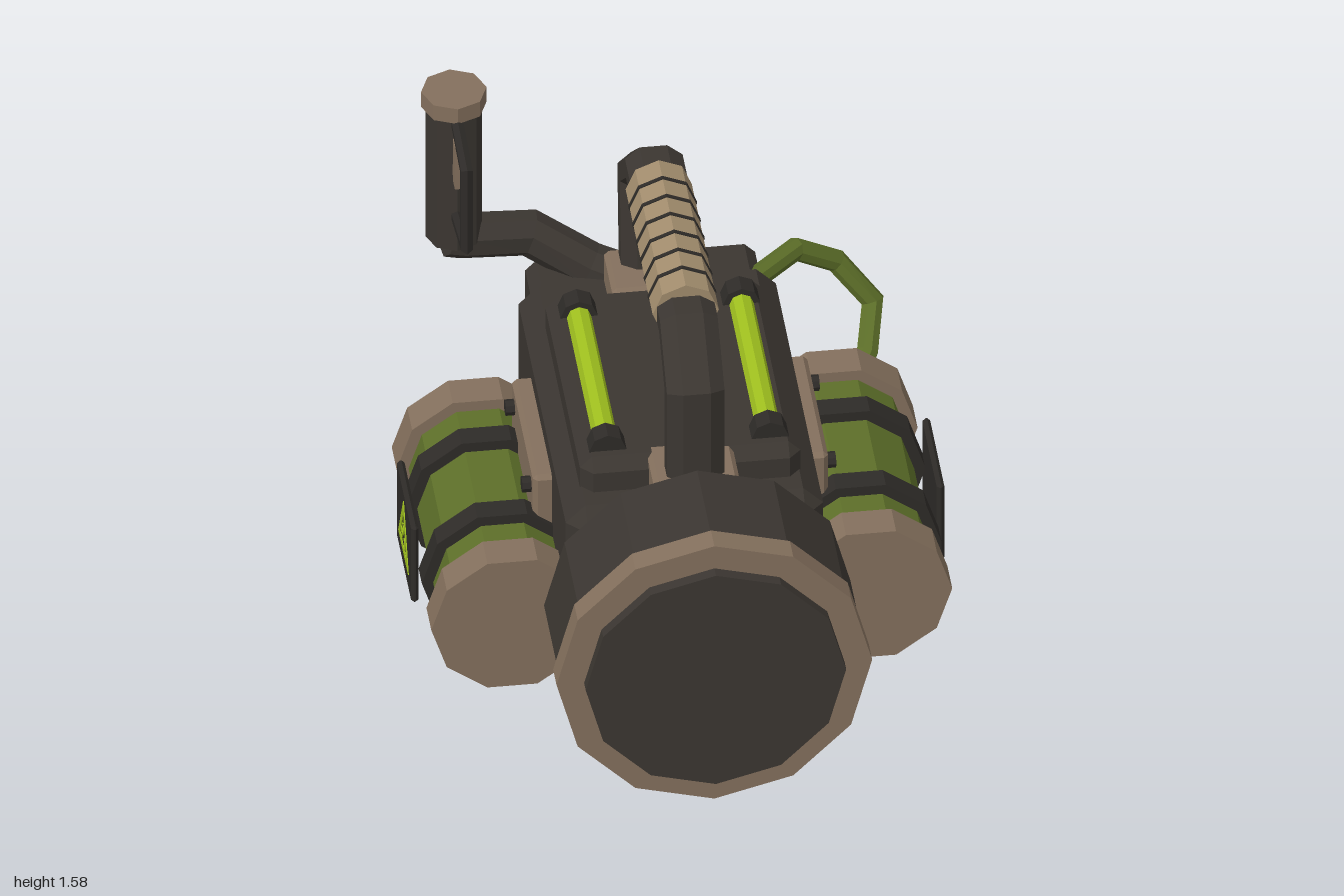
import * as THREE from 'three';
import { ConvexGeometry } from 'three/addons/geometries/ConvexGeometry.js';

const mat = (name, color) => {
  const m = new THREE.MeshStandardMaterial({ color });
  m.name = name;
  return m;
};

// Faceted normals for the low-poly look
const flat = (g) => {
  const f = g.index ? g.toNonIndexed() : g;
  f.computeVertexNormals();
  return f;
};

// Box between two corners with all edges bevelled by c
function bevelBox(min, max, c) {
  const mid = min.map((v, i) => (v + max[i]) / 2);
  const half = min.map((v, i) => (max[i] - v) / 2);
  const pts = [];
  for (const x of [-1, 1]) for (const y of [-1, 1]) for (const z of [-1, 1])
    for (let full = 0; full < 3; full++) {
      const p = [x, y, z].map((s, i) => mid[i] + s * (half[i] - (i === full ? 0 : c)));
      pts.push(new THREE.Vector3(...p));
    }
  return new ConvexGeometry(pts);
}

// Prism along z between z0 and z1
const prismZ = (r, z0, z1, sides, start = 0) =>
  new THREE.CylinderGeometry(r, r, Math.abs(z1 - z0), sides, 1, false, start)
    .rotateX(Math.PI / 2).translate(0, 0, (z0 + z1) / 2);

const ngon = (r, n) => Array.from({ length: n }, (_, i) => {
  const a = (i + 0.5) / n * Math.PI * 2;
  return [r * Math.cos(a), r * Math.sin(a)];
});

// Sweep a section along a bent path with mitred corners and closed ends
function sweep(path, section, ref) {
  const pts = path.map((p) => new THREE.Vector3(...p));
  const n = section.length, pos = [], idx = [];
  pts.forEach((p, k) => {
    const d0 = pts[Math.max(k, 1)].clone().sub(pts[Math.max(k, 1) - 1]).normalize();
    const e = Math.min(k, pts.length - 2);
    const d1 = pts[e + 1].clone().sub(pts[e]).normalize();
    const t = d0.clone().add(d1).normalize();
    const u = new THREE.Vector3(...ref).addScaledVector(t, -t.dot(new THREE.Vector3(...ref))).normalize();
    const v = t.clone().cross(u);
    const miter = 1 / Math.max(0.6, t.dot(d1));
    for (const [a, b] of section)
      pos.push(...p.clone().addScaledVector(u, a).addScaledVector(v, b * miter).toArray());
    if (k < pts.length - 1) for (let i = 0; i < n; i++) {
      const a = k * n + i, b = k * n + (i + 1) % n;
      idx.push(a, b, b + n, a, b + n, a + n);
    }
  });
  const last = (pts.length - 1) * n;
  for (let i = 1; i < n - 1; i++) idx.push(0, i + 1, i, last, last + i, last + i + 1);
  const g = new THREE.BufferGeometry();
  g.setAttribute('position', new THREE.Float32BufferAttribute(pos, 3));
  g.setIndex(idx);
  return g;
}

const triangle = (Type, cx, cy, w, h) => {
  const s = new Type();
  s.moveTo(cx - w, cy);
  s.lineTo(cx + w, cy);
  s.lineTo(cx, cy + h);
  s.closePath();
  return s;
};

export function createModel() {
  const root = new THREE.Group();
  root.name = 'lantern';
  const dark = mat('dark casing', 0x3b3631);
  const black = mat('black straps', 0x2e2b28);
  const tan = mat('brown metal', 0x84705d);
  const wrap = mat('tan grip wrap', 0xa28d6e);
  const green = mat('canister green', 0x5d6f29);
  const lime = mat('glowing lime', 0x9fc01f);

  const add = (name, geo, material, x = 0, y = 0, z = 0, parent = root) => {
    const m = new THREE.Mesh(flat(geo), material);
    m.name = name;
    m.position.set(x, y, z);
    parent.add(m);
    return m;
  };

  // Body
  add('body', bevelBox([-0.42, 0.19, -0.77], [0.42, 0.86, 0.53], 0.065), dark);
  add('rearBlock', bevelBox([-0.375, 0.195, -0.915], [0.375, 0.83, -0.6], 0.035), dark);
  add('topDeck', bevelBox([-0.36, 0.78, -0.53], [0.36, 0.975, 0.4], 0.04), dark);

  // Lamp head
  add('lampDrum', prismZ(0.5, 0.535, 0.88, 12), dark, 0, 0.52, 0);
  add('lampRim', prismZ(0.515, 0.875, 0.96, 12), tan, 0, 0.52, 0);
  add('lens', prismZ(0.425, 0.95, 1, 12), dark, 0, 0.52, 0);

  // Carrying handle
  const bar = [[0.094, -0.03], [0.094, 0.03], [0.045, 0.063], [-0.045, 0.063],
    [-0.094, 0.03], [-0.094, -0.03], [-0.045, -0.063], [0.045, -0.063]];
  add('handleBar', sweep([[0, 0.85, 0.468], [0, 1.3, 0.468], [0, 1.45, 0.315],
    [0, 1.45, -0.53], [0, 1.305, -0.7], [0, 0.85, -0.655]], bar, [1, 0, 0]), dark);
  add('frontFoot', bevelBox([-0.14, 0.8, 0.32], [0.14, 0.975, 0.53], 0.015), tan);
  add('rearFoot', bevelBox([-0.14, 0.8, -0.73], [0.14, 0.975, -0.5], 0.015), tan);
  add('grip', prismZ(0.108, -0.42, 0.25, 8), wrap, 0, 1.45, 0);
  for (let i = 1; i < 7; i++) {
    const z = -0.42 + 0.67 * i / 7;
    add('gripGroove', prismZ(0.112, z - 0.007, z + 0.007, 8), black, 0, 1.45, 0);
  }

  for (const s of [1, -1]) {
    // Light tube on the deck
    const tube = new THREE.Group();
    tube.name = s > 0 ? 'leftLightTube' : 'rightLightTube';
    tube.position.set(s * 0.265, 0.975, 0);
    root.add(tube);
    add('glowTube', prismZ(0.04, -0.4, 0.28, 8), lime, 0, 0, 0, tube);
    for (const z of [0.3, -0.415])
      add('tubeHolder', prismZ(0.061, z - 0.035, z + 0.035, 8), black, 0, 0, 0, tube);

    // Side canister
    const pod = new THREE.Group();
    pod.name = s > 0 ? 'leftCanister' : 'rightCanister';
    pod.position.set(s * 0.585, 0.35, 0);
    root.add(pod);
    const decagon = (name, r, z0, z1, m) =>
      add(name, prismZ(r, z0, z1, 10, Math.PI / 2), m, 0, 0, 0, pod);
    decagon('canisterTank', 0.226, -0.5, 0.3, green);
    decagon('frontCap', 0.265, 0.28, 0.4, tan);
    decagon('backCap', 0.265, -0.58, -0.46, tan);
    decagon('frontStrap', 0.263, 0.07, 0.15, black);
    decagon('backStrap', 0.263, -0.325, -0.245, black);

    // Warning plate with painted emblem
    add('signPlate', bevelBox([-0.0125, -0.155, -0.185], [0.0125, 0.155, 0.185], 0.01),
      black, s * 0.2725, 0.005, -0.125, pod);
    const frame = triangle(THREE.Shape, 0, -0.08, 0.122, 0.21);
    frame.holes.push(triangle(THREE.Path, 0, -0.055, 0.078, 0.135));
    const marks = [[0, 0.025], [-0.034, -0.012], [0.034, -0.012]]
      .map(([x, y]) => triangle(THREE.Shape, x, y, 0.022, -0.036));
    const emblem = new THREE.ExtrudeGeometry([frame, ...marks], { depth: 0.004, bevelEnabled: false });
    add('emblem', emblem, lime, s * 0.284, 0, -0.125, pod).rotation.y = s * Math.PI / 2;

    // Mounting bracket and bolts
    add('bracket', bevelBox([-0.045, -0.19, -0.27], [0.045, 0.19, 0.27], 0.015), tan, s * 0.437, 0.54, -0.14);
    for (const z of [0.07, -0.34])
      add('bolt', new THREE.CylinderGeometry(0.027, 0.027, 0.06, 8).rotateZ(Math.PI / 2), black, s * 0.482, 0.66, z);
  }

  // Upright control grip on a bent arm
  add('controlArm', sweep([[-0.63, 0.985, -0.86], [-0.58, 0.97, -0.865], [-0.36, 0.94, -0.89],
    [-0.17, 0.83, -0.835], [0, 0.78, -0.78]], ngon(0.077, 8), [0, 0, 1]), dark);
  add('controlGrip', new THREE.CylinderGeometry(0.092, 0.092, 0.55, 8), dark, -0.612, 1.265, -0.85);
  add('controlCap', new THREE.CylinderGeometry(0.107, 0.107, 0.06, 8), tan, -0.612, 1.55, -0.85);
  add('triggerGuard', sweep([[-0.612, 1.51, -0.8], [-0.612, 1.485, -0.535],
    [-0.612, 1.18, -0.535], [-0.612, 1.12, -0.8]], ngon(0.022, 6), [1, 0, 0]), black);
  add('trigger', new THREE.BoxGeometry(0.035, 0.17, 0.05), tan, -0.612, 1.38, -0.715);
  add('triggerPivot', new THREE.BoxGeometry(0.03, 0.04, 0.09), tan, -0.612, 1.32, -0.76);

  // Hose
  add('hose', sweep([[0.34, 0.79, -0.73], [0.51, 0.77, -0.91], [0.65, 0.67, -0.96],
    [0.765, 0.52, -0.93], [0.735, 0.4, -0.825], [0.66, 0.29, -0.715]], ngon(0.037, 8), [1, 0.7, 1]), green);

  return root;
}
